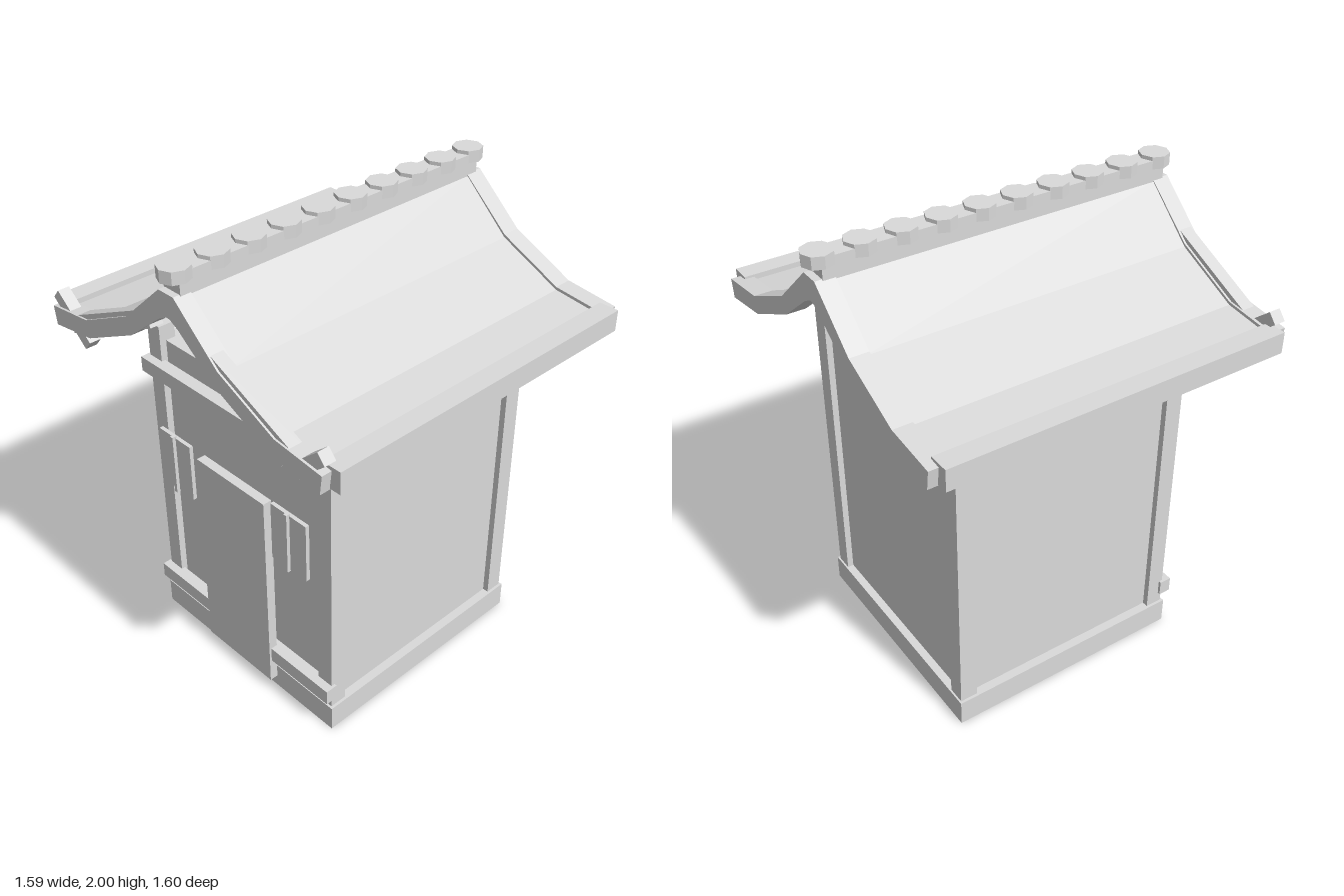
import * as THREE from 'three';

export function createModel() {
  const model = new THREE.Group();
  model.name = 'shrine';
  const stone = new THREE.MeshStandardMaterial({ color: 0xdadada });
  stone.name = 'plain grey';
  stone.flatShading = true;

  const add = (name, geometry) => {
    const mesh = new THREE.Mesh(geometry, stone);
    mesh.name = name;
    model.add(mesh);
    return mesh;
  };

  // Box given by its limits on each axis
  const box = (name, x0, x1, y0, y1, z0, z1) => {
    const mesh = add(name, new THREE.BoxGeometry(x1 - x0, y1 - y0, z1 - z0));
    mesh.position.set((x0 + x1) / 2, (y0 + y1) / 2, (z0 + z1) / 2);
    return mesh;
  };

  // Symmetric roof section drawn out along z; half runs from the peak to the eave and back underneath
  const roofSection = (name, half, z0, z1) => {
    const mirrored = half.map(([x, y]) => [-x, y]).reverse();
    const outline = [...half, ...mirrored].map(([x, y]) => new THREE.Vector2(x, y));
    const geometry = new THREE.ExtrudeGeometry(new THREE.Shape(outline), { depth: z1 - z0, bevelEnabled: false });
    geometry.translate(0, 0, z0);
    return add(name, geometry);
  };

  // Body
  box('base', -0.533, 0.533, 0, 0.115, -0.545, 0.525);
  box('walls', -0.495, 0.495, 0.1, 1.41, -0.51, 0.485);
  for (const s of [-1, 1]) {
    const x = s * 0.4835;
    box('frontPost', x - 0.0375, x + 0.0375, 0.11, 1.48, 0.44, 0.515);
    box('backPost', x - 0.0375, x + 0.0375, 0.11, 1.48, -0.537, -0.46);
  }

  // Front beams, door and windows
  box('upperBeam', -0.533, 0.533, 1.26, 1.325, 0.498, 0.552);
  box('lowerBeam', -0.533, 0.533, 0.165, 0.233, 0.498, 0.552);
  box('door', -0.2, 0.2, 0.055, 1.0, 0.522, 0.562);
  for (const s of [-1, 1]) {
    const x = s * 0.34;
    box('windowPanel', x - 0.097, x + 0.097, 0.77, 1.033, 0.546, 0.563);
    box('windowBar', x - 0.008, x + 0.008, 0.765, 1.042, 0.558, 0.578);
  }

  // Curved roof covering
  roofSection('roofPanel', [
    [0.04, 1.9], [0.255, 1.7], [0.53, 1.57], [0.73, 1.545],
    [0.73, 1.51], [0.52, 1.535], [0.24, 1.67], [0.03, 1.86],
  ], -0.72, 0.72);

  // Raised gable boards at the two ends
  const board = [
    [0.04, 1.905], [0.255, 1.712], [0.53, 1.582], [0.755, 1.555],
    [0.745, 1.475], [0.52, 1.508], [0.235, 1.643], [0.055, 1.785], [0.01, 1.81],
  ];
  roofSection('frontGableBoard', board, 0.705, 0.778);
  roofSection('backGableBoard', board, -0.78, -0.7);

  for (const s of [-1, 1]) {
    // Eave edge
    const x = s * 0.7525;
    box('eave', x - 0.0425, x + 0.0425, 1.48, 1.57, -0.74, 0.735);

    // Straight rafter on the front gable
    const rafter = add('frontRafter', new THREE.BoxGeometry(0.573, 0.07, 0.056));
    rafter.position.set(s * 0.395, 1.628, 0.742);
    rafter.rotation.z = -s * 0.432;

    // Short slanted peg through the front eave corner
    const peg = add('eavePeg', new THREE.BoxGeometry(0.24, 0.052, 0.05));
    peg.position.set(s * 0.65, 1.53, 0.743);
    peg.rotation.z = s * 0.71;
  }

  // Ridge beam with a row of eight-sided caps
  box('ridgeBeam', -0.045, 0.045, 1.88, 1.985, -0.75, 0.75);
  for (let i = 0; i < 10; i++) {
    const cap = add('ridgeCap', new THREE.CylinderGeometry(0.0625, 0.0625, 0.05, 8));
    cap.position.set(0, 1.975, -0.742 + i * 0.1642);
  }

  return model;
}
